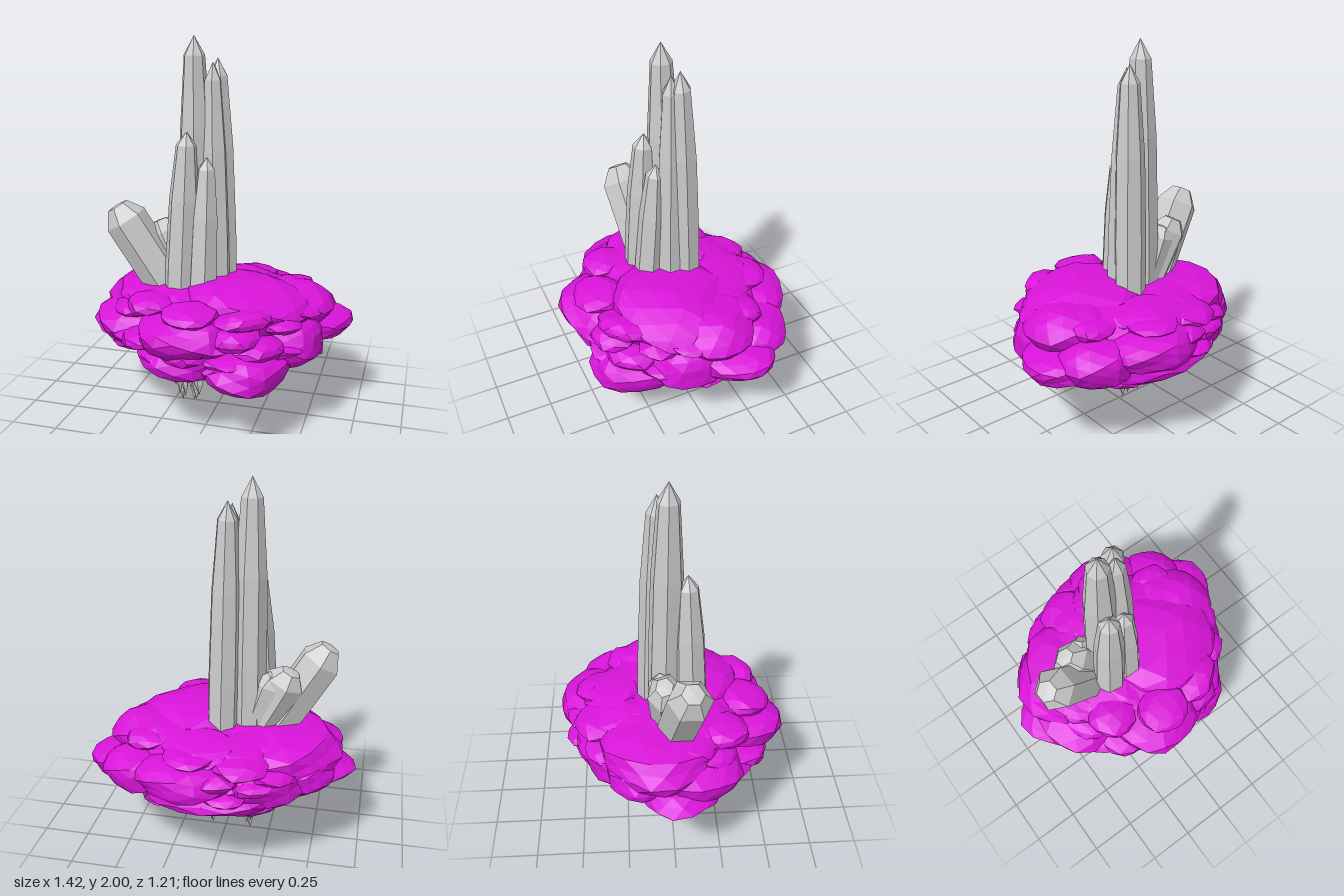
import * as THREE from 'three';

const stone = new THREE.MeshStandardMaterial({ color: 0xcccccc, flatShading: true });
const magenta = new THREE.MeshStandardMaterial({ color: 0xd814d8, flatShading: true });

// small seeded generator, 0..1
let seed = 7;
function rand() {
  seed = (seed * 16807) % 2147483647;
  return seed / 2147483647;
}
const spread = (s) => (rand() * 2 - 1) * s;

// faceted shaft from base to tip; profile rows are [radius factor, height factor]
const PILLAR = [[0, 0], [0.97, 0], [1, 0.4], [0.9, 0.7], [0.6, 0.94], [0, 1]];
const BLUNT = [[0, 0], [0.95, 0], [1, 0.3], [1, 0.86], [0.5, 1], [0, 1.01]];
const SHARD = [[0, 0], [1, 0], [0.95, 0.55], [0.65, 0.8], [0, 1]];
function shaft(name, base, tip, r, sides, profile, squash = 1, turn = 0) {
  const a = new THREE.Vector3(...base);
  const dir = new THREE.Vector3(...tip).sub(a);
  const length = dir.length();
  const points = profile.map(([f, h]) => new THREE.Vector2(f * r, h * length));
  const geo = new THREE.LatheGeometry(points, sides);
  geo.rotateY(turn);
  geo.scale(1, 1, squash);
  const mesh = new THREE.Mesh(geo, stone);
  mesh.name = name;
  mesh.position.copy(a);
  mesh.quaternion.setFromUnitVectors(new THREE.Vector3(0, 1, 0), dir.normalize());
  return mesh;
}

// lumpy flattened boulder with flat facets
function lobe(name, detail, x, y, z, rx, ry, rz, yaw = 0, tilt = 0) {
  const geo = new THREE.IcosahedronGeometry(1, detail);
  const pos = geo.attributes.position;
  const v = new THREE.Vector3();
  const phase = x * 9 + z * 13 + y * 5;
  for (let i = 0; i < pos.count; i++) {
    v.fromBufferAttribute(pos, i);
    const k = 0.96 + 0.06 * Math.sin(4 * v.x + phase) * Math.cos(4 * v.z - phase)
      + 0.05 * Math.sin(6 * v.y + 3 * v.x + 2 * phase);
    const flat = Math.sign(v.y) * Math.pow(Math.abs(v.y), 0.9);
    pos.setXYZ(i, v.x * k * rx, flat * k * ry, v.z * k * rz);
  }
  geo.computeVertexNormals();
  const mesh = new THREE.Mesh(geo, magenta);
  mesh.name = name;
  mesh.position.set(x, y, z);
  mesh.rotation.set(0, yaw, tilt);
  return mesh;
}

export function createModel() {
  seed = 7;
  const model = new THREE.Group();
  model.name = 'crystalCluster';

  // upright and leaning crystals
  const crystals = new THREE.Group();
  crystals.name = 'crystals';
  crystals.add(
    shaft('tallestCrystal', [-0.13, 0.37, -0.04], [-0.13, 2, -0.01], 0.092, 7, PILLAR, 1, 0.2),
    shaft('backTallCrystal', [0.005, 0.37, -0.1], [-0.02, 1.89, -0.06], 0.085, 7, PILLAR, 1, 0.5),
    shaft('middleTallCrystal', [0.0, 0.37, 0.0], [-0.035, 1.87, -0.02], 0.075, 6, PILLAR, 1, 0.1),
    shaft('leftFrontCrystal', [-0.19, 0.37, 0.115], [-0.145, 1.53, 0.08], 0.088, 7, PILLAR, 1, 0.3),
    shaft('rightFrontCrystal', [-0.065, 0.37, 0.125], [-0.045, 1.4, 0.06], 0.078, 6, PILLAR, 1, 0.4),
    shaft('leaningCrystal', [-0.22, 0.6, 0.02], [-0.535, 1.12, 0.08], 0.115, 6, BLUNT, 1, 0.05),
    shaft('smallLeaningCrystal', [-0.14, 0.6, -0.01], [-0.35, 1.02, -0.045], 0.108, 6, BLUNT, 0.85, 0.2),
    shaft('innerLeaningCrystal', [-0.14, 0.6, -0.03], [-0.27, 1.0, -0.06], 0.09, 6, BLUNT, 0.8, 0.6)
  );
  model.add(crystals);

  // splintered lower ends: [x, z, half width x, half width z, lowest y, count]
  const roots = new THREE.Group();
  roots.name = 'splinteredRoots';
  const clumps = [
    [-0.13, 0.0, 0.06, 0.06, 0, 13],
    [-0.17, 0.1, 0.06, 0.05, 0.05, 11],
    [-0.09, 0.1, 0.04, 0.05, 0.06, 8],
    [-0.13, -0.06, 0.05, 0.05, 0.07, 7],
    [0.06, -0.1, 0.035, 0.05, 0.08, 10],
    [-0.02, 0.02, 0.03, 0.05, 0.23, 5],
  ];
  for (const [cx, cz, wx, wz, low, count] of clumps) {
    for (let i = 0; i < count; i++) {
      const u = i ? spread(1) : 0, w = i ? spread(1) : 0;
      const x = cx + u * wx, z = cz + w * wz;
      const y = low + (i ? 0.02 + 0.1 * rand() + 0.05 * Math.abs(u) : 0);
      roots.add(shaft('splinter', [x, 0.42, z], [x - u * 0.015 + spread(0.01), y, z - w * 0.015],
        0.028 + 0.016 * rand(), 5, SHARD, 0.7, rand() * 3));
    }
  }
  model.add(roots);

  // broad magenta mass made of overlapping lobes
  const mass = new THREE.Group();
  mass.name = 'magentaMass';
  const lobes = [
    ['core', 0, 0.53, -0.03, 0.52, 0.18, 0.45],
    ['upperRight', 0.15, 0.63, 0.08, 0.38, 0.16, 0.33],
    ['upperMiddle', -0.1, 0.61, 0.02, 0.32, 0.135, 0.35],
    ['upperLeft', -0.28, 0.6, -0.06, 0.36, 0.135, 0.33],
    ['upperBack', 0.05, 0.6, -0.22, 0.36, 0.115, 0.26],
    ['leftLow', -0.4, 0.47, 0.03, 0.3, 0.085, 0.24],
    ['leftFront', -0.36, 0.52, 0.13, 0.29, 0.14, 0.24],
    ['leftBack', -0.42, 0.53, -0.17, 0.19, 0.1, 0.18],
    ['front', -0.06, 0.57, 0.35, 0.27, 0.12, 0.27],
    ['frontLow', -0.08, 0.43, 0.28, 0.28, 0.12, 0.27],
    ['frontRightLow', 0.22, 0.385, 0.3, 0.23, 0.12, 0.26],
    ['back', 0.13, 0.565, -0.38, 0.27, 0.11, 0.23],
    ['backLeft', -0.24, 0.52, -0.3, 0.28, 0.13, 0.18, 0.5],
    ['backRight', 0.4, 0.53, -0.29, 0.2, 0.12, 0.2],
    ['right', 0.49, 0.5, -0.15, 0.22, 0.085, 0.22],
    ['rightFront', 0.37, 0.48, 0.1, 0.23, 0.15, 0.22],
    ['rightUpper', 0.38, 0.62, -0.06, 0.24, 0.13, 0.24],
    ['underside', 0.05, 0.42, 0.03, 0.45, 0.11, 0.32],
    ['backLow', 0.02, 0.445, -0.34, 0.36, 0.085, 0.2],
  ];
  for (const [name, ...dims] of lobes) mass.add(lobe(name + 'Lobe', 2, ...dims));

  // thin overlapping ledges around the rim
  const ledges = 46;
  for (let i = 0; i < ledges; i++) {
    const a = (i / ledges) * Math.PI * 2 + spread(0.08);
    const y = 0.42 + 0.06 * ((i * 2) % 5) + spread(0.02);
    const r = 0.44 - Math.abs(y - 0.53) * 0.3 + spread(0.025);
    mass.add(lobe('rimLedge', 1, r * 1.05 * Math.cos(a), y, r * Math.sin(a),
      0.11 + 0.03 * rand(), 0.03 + 0.025 * rand(), 0.12 + 0.06 * rand(), -a + spread(0.4), spread(0.15)));
  }

  // sloping plates layered on the upper surface
  const plates = 13;
  for (let i = 0; i < plates; i++) {
    const a = (i / plates) * Math.PI * 2 + spread(0.15);
    const r = 0.33 + spread(0.03);
    mass.add(lobe('topPlate', 1, r * Math.cos(a), 0.675 + spread(0.01), r * 0.85 * Math.sin(a) - 0.03,
      0.16, 0.04, 0.15 + 0.05 * rand(), -a, -0.2));
  }
  model.add(mass);
  return model;
}
